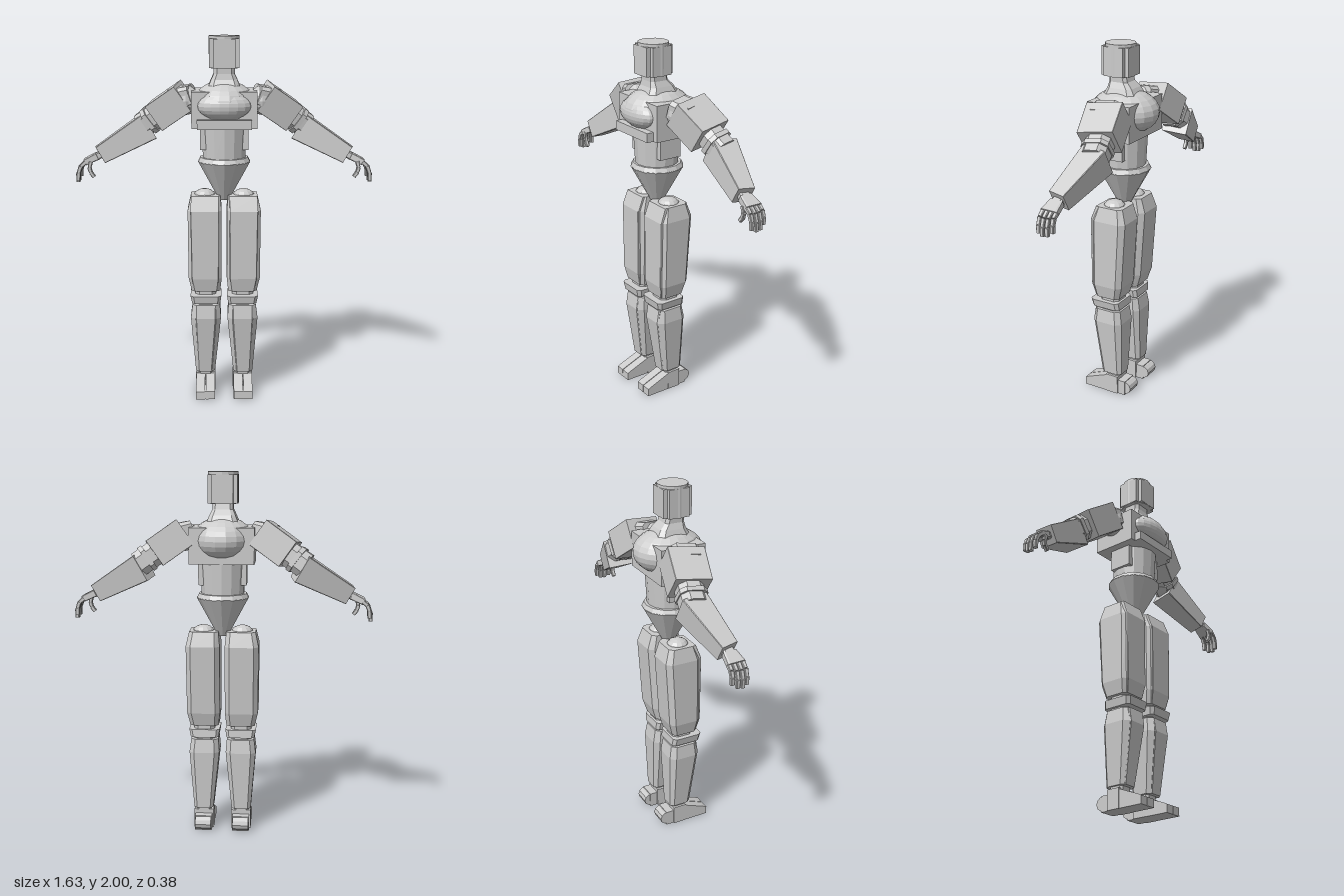
import * as THREE from 'three';

const mat = new THREE.MeshStandardMaterial({ color: 0xcccccc, flatShading: true });

function add(parent, name, geo, x = 0, y = 0, z = 0) {
  const m = new THREE.Mesh(geo, mat);
  m.name = name;
  m.position.set(x, y, z);
  parent.add(m);
  return m;
}

// Box given by its extents
function block(parent, name, x0, x1, y0, y1, z0, z1) {
  return add(parent, name, new THREE.BoxGeometry(Math.abs(x1 - x0), y1 - y0, z1 - z0),
    (x0 + x1) / 2, (y0 + y1) / 2, (z0 + z1) / 2);
}

// Low-poly ellipsoid
function ball(parent, name, x, y, z, rx, ry, rz, w = 16, h = 12) {
  return add(parent, name, new THREE.SphereGeometry(1, w, h).scale(rx, ry, rz), x, y, z);
}

// Chamfered-rectangle loft; each section is [y, x0, x1, z0, z1], chamfer is a share of the half size
function loft(sections, chamfer = 0.3) {
  const k = 1 - chamfer;
  const outline = [[1, -k], [1, k], [k, 1], [-k, 1], [-1, k], [-1, -k], [-k, -1], [k, -1]];
  const rings = sections.map(([y, x0, x1, z0, z1]) => outline.map(([u, v]) => [
    (x0 + x1) / 2 + u * Math.abs(x1 - x0) / 2, y, (z0 + z1) / 2 + v * (z1 - z0) / 2]));
  const pos = [];
  const tri = (...p) => p.forEach(q => pos.push(...q));
  for (let r = 0; r + 1 < rings.length; r++) {
    const a = rings[r], b = rings[r + 1];
    for (let i = 0; i < 8; i++) {
      const j = (i + 1) % 8;
      tri(a[i], b[i], a[j]);
      tri(a[j], b[i], b[j]);
    }
  }
  const lo = rings[0], hi = rings[rings.length - 1];
  for (let i = 1; i < 7; i++) {
    tri(lo[0], lo[i], lo[i + 1]);
    tri(hi[0], hi[i + 1], hi[i]);
  }
  const g = new THREE.BufferGeometry();
  g.setAttribute('position', new THREE.Float32BufferAttribute(pos, 3));
  g.computeVertexNormals();
  return g;
}

// Tapered bar from point a to point b; half thickness (across) and half depth (along z) at each end
function bar(parent, name, a, b, [t0, d0], [t1, d1], chamfer = 0.02) {
  const A = new THREE.Vector3(...a), B = new THREE.Vector3(...b);
  const len = A.distanceTo(B);
  const Y = B.clone().sub(A).normalize();
  const X = Y.clone().cross(new THREE.Vector3(0, 0, 1)).normalize();
  const Z = X.clone().cross(Y);
  const m = add(parent, name, loft([[0, -t0, t0, -d0, d0], [len, -t1, t1, -d1, d1]], chamfer), ...a);
  m.quaternion.setFromRotationMatrix(new THREE.Matrix4().makeBasis(X, Y, Z));
  return m;
}

function buildHead(root) {
  const head = new THREE.Group();
  head.name = 'head';
  root.add(head);
  add(head, 'skull', new THREE.CylinderGeometry(0.082, 0.082, 0.17, 16), 0, 1.915, 0.024);
  block(head, 'headSides', -0.08, 0.08, 1.832, 1.985, -0.035, 0.082);
  block(head, 'headFrontBack', -0.058, 0.058, 1.832, 1.985, -0.058, 0.106);
  add(head, 'neck', loft([[1.72, -0.09, 0.09, -0.1, 0.1], [1.77, -0.07, 0.07, -0.07, 0.075],
    [1.80, -0.056, 0.056, -0.04, 0.07], [1.84, -0.056, 0.056, -0.03, 0.07]]));
}

function buildTorso(root) {
  const torso = new THREE.Group();
  torso.name = 'torso';
  root.add(torso);
  ball(torso, 'ribcage', 0, 1.64, -0.002, 0.167, 0.122, 0.192, 18, 14);
  block(torso, 'chestBlock', -0.175, 0.175, 1.515, 1.71, -0.13, 0.125);
  ball(torso, 'chestPlate', 0, 1.635, 0.115, 0.145, 0.075, 0.075, 18, 12);
  block(torso, 'lowerChest', -0.145, 0.145, 1.515, 1.565, 0.05, 0.165);
  add(torso, 'abdomen', new THREE.CylinderGeometry(0.128, 0.117, 0.21, 14), 0, 1.435, 0.002);
  for (const s of [-1, 1]) block(torso, 'waistPanel', s * 0.092, s * 0.13, 1.395, 1.52, -0.06, 0.07);
  add(torso, 'belt', new THREE.CylinderGeometry(0.132, 0.145, 0.025, 14), 0, 1.335, 0);
  add(torso, 'pelvis', new THREE.CylinderGeometry(0.145, 0.028, 0.215, 14), 0, 1.217, 0);
}

function buildLeg(root, s) {
  const leg = new THREE.Group();
  leg.name = s > 0 ? 'leftLeg' : 'rightLeg';
  root.add(leg);
  const part = (name, rows, chamfer) =>
    add(leg, name, loft(rows.map(([y, x0, x1, z0, z1]) => [y, s * x0, s * x1, z0, z1]), chamfer));
  ball(leg, 'hipBall', s * 0.107, 1.13, 0, 0.06, 0.04, 0.06, 12, 8);
  part('thigh', [[0.605, 0.022, 0.18, -0.058, 0.09], [0.68, 0.014, 0.197, -0.08, 0.104],
    [1.06, 0.014, 0.2, -0.105, 0.104], [1.14, 0.022, 0.182, -0.08, 0.075]], 0.28);
  part('thighFront', [[0.605, 0.04, 0.165, 0, 0.09], [0.68, 0.03, 0.18, 0, 0.106],
    [1.06, 0.03, 0.185, 0, 0.106], [1.14, 0.03, 0.18, 0, 0.075]], 0.05);
  // Knee band with a narrower joint running through it
  part('kneeJoint', [[0.5, 0.045, 0.16, -0.045, 0.075], [0.63, 0.045, 0.16, -0.045, 0.075]], 0.4);
  part('kneeBand', [[0.538, 0.022, 0.178, -0.062, 0.108], [0.582, 0.016, 0.187, -0.058, 0.116]], 0.2);
  part('shin', [[0.122, 0.052, 0.16, -0.063, 0.06], [0.45, 0.018, 0.186, -0.072, 0.106],
    [0.525, 0.024, 0.176, -0.06, 0.097]], 0.32);
  part('shinFront', [[0.122, 0.07, 0.145, -0.03, 0.063], [0.45, 0.045, 0.16, 0, 0.109],
    [0.525, 0.045, 0.16, 0, 0.097]], 0.1);
  // Foot
  part('ankle', [[0.08, 0.065, 0.147, -0.045, 0.035], [0.13, 0.065, 0.147, -0.045, 0.04]], 0.3);
  block(leg, 'midFoot', s * 0.05, s * 0.16, 0, 0.108, -0.045, 0.032);
  const side = new THREE.Shape([[0, 0], [0.172, 0], [0.172, 0.045], [0.15, 0.055], [0.03, 0.102], [0, 0.102]]
    .map(p => new THREE.Vector2(...p)));
  for (const [x0, x1] of [[0.053, 0.104], [0.108, 0.158]]) {
    const toe = new THREE.ExtrudeGeometry(side, { depth: x1 - x0, bevelEnabled: false });
    toe.rotateY(-Math.PI / 2);
    add(leg, 'toe', toe, s > 0 ? x1 : -x0, 0, 0);
  }
  block(leg, 'toeCore', s * 0.1, s * 0.112, 0, 0.045, 0, 0.165);
  block(leg, 'heel', s * 0.058, s * 0.152, 0, 0.085, -0.09, -0.03);
  const heelRound = add(leg, 'heelRound', new THREE.CylinderGeometry(0.037, 0.037, 0.088, 10),
    s * 0.105, 0.045, -0.088);
  heelRound.rotation.z = Math.PI / 2;
}

function buildArm(root, s) {
  const arm = new THREE.Group();
  arm.name = s > 0 ? 'leftArm' : 'rightArm';
  root.add(arm);
  const limb = (name, a, b, e0, e1, c) =>
    bar(arm, name, [s * a[0], a[1], a[2]], [s * b[0], b[1], b[2]], e0, e1, c);
  ball(arm, 'shoulderBall', s * 0.205, 1.655, -0.005, 0.07, 0.08, 0.075, 12, 8);
  limb('shoulderLink', [0.17, 1.685, 0], [0.27, 1.65, -0.03], [0.055, 0.07], [0.07, 0.075], 0.3);
  limb('upperArm', [0.208, 1.678, -0.032], [0.366, 1.567, -0.07], [0.08, 0.1], [0.08, 0.097]);
  limb('elbow', [0.34, 1.585, -0.07], [0.45, 1.508, -0.093], [0.068, 0.068], [0.068, 0.068], 0.5);
  limb('elbowRing', [0.392, 1.549, -0.08], [0.412, 1.534, -0.085], [0.075, 0.074], [0.075, 0.074], 0.4);
  limb('forearm', [0.418, 1.503, -0.095], [0.682, 1.352, -0.036], [0.077, 0.072], [0.05, 0.047], 0.05);

  // Hand: palm, four curled fingers and a thumb
  limb('wrist', [0.67, 1.36, -0.038], [0.705, 1.34, -0.035], [0.02, 0.03], [0.02, 0.03], 0.3);
  limb('palm', [0.695, 1.347, -0.035], [0.762, 1.315, -0.033], [0.02, 0.036], [0.017, 0.048], 0.2);
  const finger = (name, pts, z, r) => {
    for (let i = 0; i + 1 < pts.length; i++) {
      limb(name, [...pts[i], z], [...pts[i + 1], z], [r, r], [r * 0.88, r * 0.88], 0.3);
    }
  };
  [0.005, -0.02, -0.046, -0.072].forEach((z, i) => {
    const k = [0.9, 1, 0.97, 0.8][i];
    const path = [[0, 0], [0.03, -0.025], [0.045, -0.066], [0.046, -0.112]]
      .map(([x, y]) => [0.757 + x * k, 1.317 + y * k]);
    finger('finger', path, z, 0.0115);
  });
  finger('thumb', [[0.728, 1.32], [0.737, 1.287], [0.73, 1.26], [0.712, 1.236]], 0.004, 0.011);
}

export function createModel() {
  const root = new THREE.Group();
  root.name = 'mannequin';
  buildHead(root);
  buildTorso(root);
  for (const s of [1, -1]) {
    buildLeg(root, s);
    buildArm(root, s);
  }
  return root;
}
